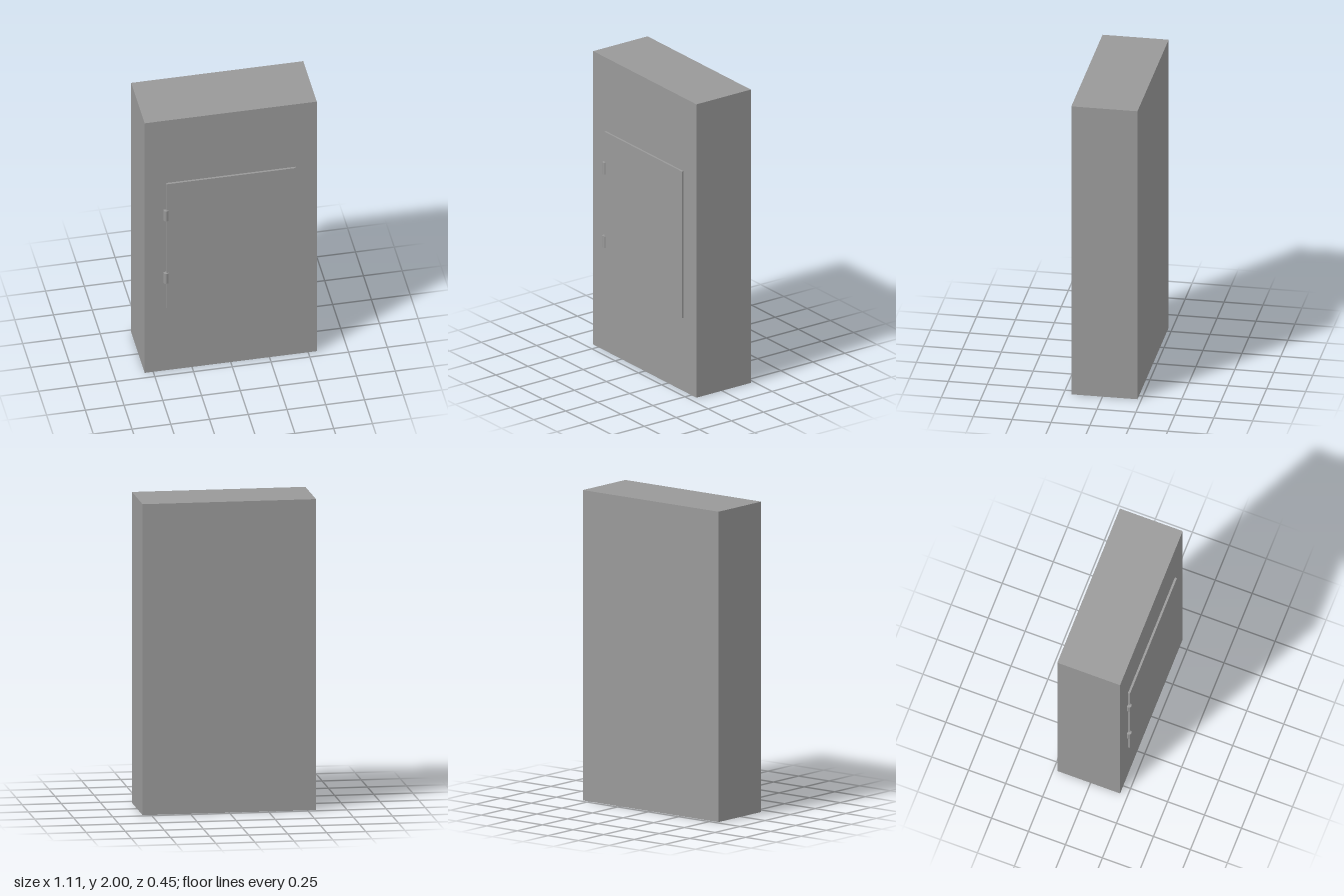
import * as THREE from 'three';

export function createModel() {
  const group = new THREE.Group();
  const grey = new THREE.MeshStandardMaterial({ color: 0x999999 });
  grey.name = 'grey metal';

  // A hinge barrel needs its facets kept, so it has its own flat-shaded geometry
  const hingeGeometry = new THREE.CylinderGeometry(0.017, 0.017, 0.08, 8).toNonIndexed();
  hingeGeometry.computeVertexNormals();

  const add = (name, geometry, x, y, z) => {
    const mesh = new THREE.Mesh(geometry, grey);
    mesh.name = name;
    mesh.position.set(x, y, z);
    group.add(mesh);
  };

  // Cabinet body
  add('cabinetBody', new THREE.BoxGeometry(1.11, 2, 0.425), 0, 1, -0.0125);

  // Door panel, standing slightly proud of the front
  add('door', new THREE.BoxGeometry(0.833, 1, 0.014), 0, 1, 0.207);

  // Two hinge barrels along the door's edge
  [['lowerHinge', 0.75], ['upperHinge', 1.25]].forEach(([name, y]) =>
    add(name, hingeGeometry, -0.419, y, 0.208));

  return group;
}
